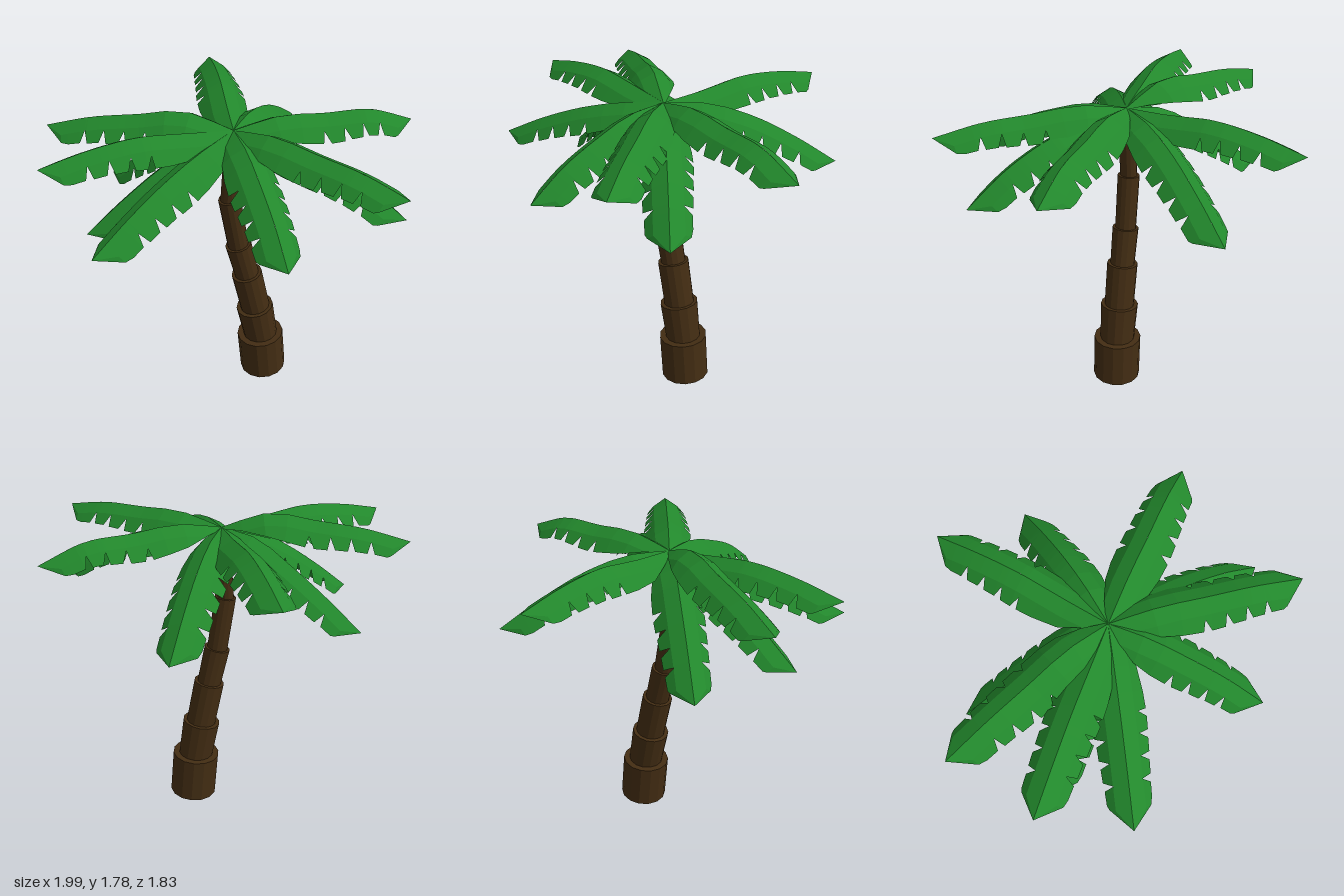
import * as THREE from 'three';

const bark = new THREE.MeshStandardMaterial({ color: 0x432d13, flatShading: true });
const leaf = new THREE.MeshStandardMaterial({ color: 0x22882c, flatShading: true, side: THREE.DoubleSide });

const CZ = 0.075;                                   // depth of the trunk plane
const HUB = new THREE.Vector3(0, 1.695, CZ);

// Trunk sections: bottom x, y, top x, y, bottom radius, top radius
const SECTIONS = [
  [0.198, 0.01, 0.174, 0.278, 0.138, 0.138],
  [0.18, 0.25, 0.135, 0.497, 0.1, 0.109],
  [0.143, 0.47, 0.082, 0.755, 0.086, 0.088],
  [0.09, 0.72, 0.03, 0.97, 0.069, 0.074],
  [0.034, 0.94, -0.022, 1.283, 0.059, 0.061],
  [-0.024, 1.26, 0.0, 1.66, 0.047, 0.046],
];

// Fronds: tip x, y, z, then ridge heights at 1/4, 1/2 and 3/4 of the length
const FRONDS = [
  [0.12, 1.66, -0.915, 1.71, 1.738, 1.715],
  [0.57, 1.35, -0.66, 1.69, 1.62, 1.5],
  [0.99, 1.63, 0.085, 1.745, 1.73, 1.72],
  [0.75, 1.37, 0.625, 1.675, 1.63, 1.53],
  [0.62, 1.66, 0.865, 1.74, 1.725, 1.71],
  [0.03, 1.395, 0.915, 1.69, 1.625, 1.535],
  [-0.82, 1.38, 0.56, 1.66, 1.595, 1.5],
  [-0.8, 1.21, 0.1, 1.65, 1.53, 1.38],
  [-1.0, 1.65, 0.13, 1.72, 1.74, 1.71],
  [-0.91, 1.63, -0.36, 1.778, 1.74, 1.7],
  [-0.57, 1.21, -0.485, 1.66, 1.53, 1.38],
];

// Edge outline as [position along ridge, fraction of full half width]
function outline(shift) {
  const pts = [[0, 0.08], [0.1, 0.5], [0.22, 0.85], [0.35, 0.97], [0.44 + shift, 1]];
  for (let i = 0; i < 4; i++) {                     // torn notches
    const t = 0.45 + shift + i * 0.108, w = 1 - i * 0.05;
    pts.push([t, w - 0.32], [t + 0.03, w], [t + 0.098, w - 0.02]);
  }
  pts.push([0.91, 0.76], [1, 0]);
  return pts;
}

function frondGeometry([x, y, z, ...heights]) {
  const tip = new THREE.Vector3(x, y, z);
  const inner = heights.map((h, i) => HUB.clone().lerp(tip, (i + 1) / 4).setY(h));
  const ridge = new THREE.CatmullRomCurve3([HUB, ...inner, tip]);
  const side = new THREE.Vector3(z - CZ, 0, -x).normalize();
  const halfWidth = 0.135, fold = 0.55;
  const pos = [], idx = [];

  for (const s of [-1, 1]) {
    const start = pos.length / 3;
    const rows = outline(s > 0 ? 0 : 0.02);
    rows.forEach(([t, w], i) => {
      const p = ridge.getPoint(t);
      const up = new THREE.Vector3().crossVectors(ridge.getTangent(t), side).normalize();
      if (up.y < 0) up.negate();
      // ridge, fold line, torn edge
      for (const f of [0, Math.min(w, fold), w]) {
        const drop = f < fold ? f * 0.075 : 0.041 + (f - fold) * 0.15;
        const q = p.clone().addScaledVector(side, s * f * halfWidth).addScaledVector(up, -drop);
        pos.push(q.x, q.y, q.z);
      }
      if (i === 0) return;
      const a = start + (i - 1) * 3, b = a + 3;
      for (let k = 0; k < 2; k++) {
        const quad = [a + k, a + k + 1, b + k + 1, a + k, b + k + 1, b + k];
        idx.push(...(s > 0 ? quad : quad.reverse()));
      }
    });
  }
  const g = new THREE.BufferGeometry();
  g.setAttribute('position', new THREE.Float32BufferAttribute(pos, 3));
  g.setIndex(idx);
  g.computeVertexNormals();
  return g;
}

export function createModel() {
  const model = new THREE.Group();
  model.name = 'palmTree';

  // Leaning trunk of stacked, tilted sections
  const trunk = new THREE.Group();
  trunk.name = 'trunk';
  SECTIONS.forEach(([x0, y0, x1, y1, r0, r1], i) => {
    const a = new THREE.Vector3(x0, y0, CZ), b = new THREE.Vector3(x1, y1, CZ);
    const axis = b.clone().sub(a);
    const m = new THREE.Mesh(new THREE.CylinderGeometry(r1, r0, axis.length(), 14), bark);
    m.position.copy(a).lerp(b, 0.5);
    m.quaternion.setFromUnitVectors(new THREE.Vector3(0, 1, 0), axis.normalize());
    m.name = `trunkSection${i + 1}`;
    trunk.add(m);
  });
  model.add(trunk);

  // Crown of fronds
  const crown = new THREE.Group();
  crown.name = 'crown';
  FRONDS.forEach((f, i) => {
    const m = new THREE.Mesh(frondGeometry(f), leaf);
    m.name = `frond${i + 1}`;
    crown.add(m);
  });
  model.add(crown);
  return model;
}
